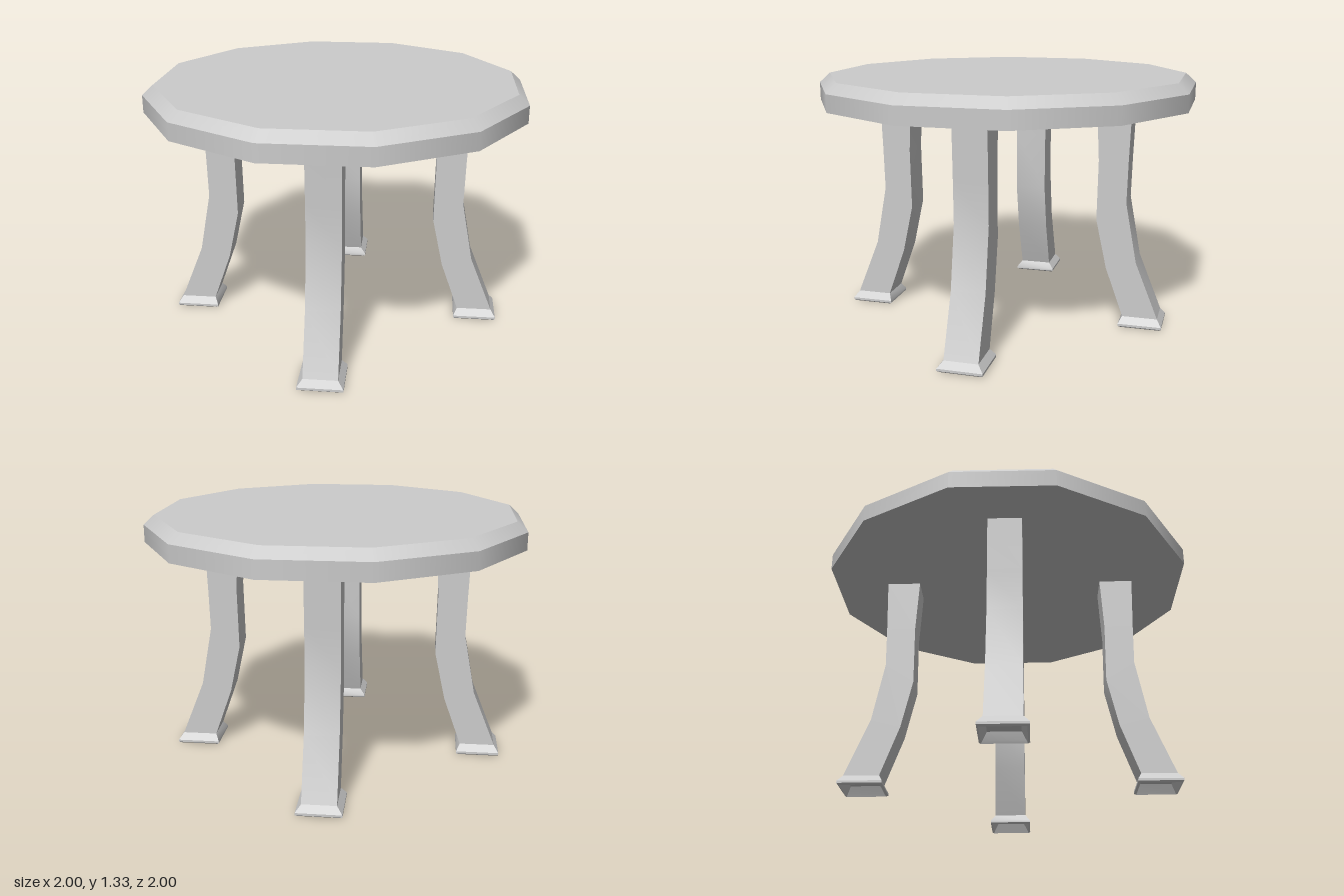
import * as THREE from 'three';
import { mergeVertices, toCreasedNormals } from 'three/addons/utils/BufferGeometryUtils.js';

const material = new THREE.MeshStandardMaterial({ color: 0xcccccc });

function addMesh(parent, geometry, name, y = 0) {
  const mesh = new THREE.Mesh(geometry, material);
  mesh.name = name;
  mesh.position.y = y;
  parent.add(mesh);
  return mesh;
}

// Skin rectangular rings from top to bottom; each ring is
// [outer y, outer reach, inner y, inner reach, half width].
function skinRings(rings, capped) {
  const points = [];
  const index = [];
  for (const [yo, zo, yi, zi, h] of rings) {
    points.push(-h, yo, zo, h, yo, zo, h, yi, zi, -h, yi, zi);
  }
  for (let r = 0; r < rings.length - 1; r++) {
    for (let k = 0; k < 4; k++) {
      const a = r * 4 + k;
      const b = r * 4 + (k + 1) % 4;
      index.push(a, a + 4, b + 4, a, b + 4, b);
    }
  }
  if (capped) {
    const e = (rings.length - 1) * 4;
    index.push(e, e + 2, e + 1, e, e + 3, e + 2);
  }
  const geometry = new THREE.BufferGeometry();
  geometry.setAttribute('position', new THREE.Float32BufferAttribute(points, 3));
  geometry.setIndex(index);
  return toCreasedNormals(mergeVertices(geometry), 0.5);
}

export function createModel() {
  const table = new THREE.Group();
  table.name = 'roundTable';

  // Twelve-sided top: bevelled upper edge over a straight rim
  const top = new THREE.Group();
  top.name = 'tableTop';
  table.add(top);
  addMesh(top, new THREE.CylinderGeometry(0.945, 1, 0.05, 12, 1, true), 'topBevel', 1.305);
  addMesh(top, new THREE.CylinderGeometry(1, 1, 0.09, 12, 1, true), 'topRim', 1.235);
  const disc = new THREE.CircleGeometry(1, 12);
  const surface = addMesh(top, disc, 'topSurface', 1.33);
  surface.rotation.x = -Math.PI / 2;
  surface.scale.setScalar(0.945);
  addMesh(top, disc, 'topUnderside', 1.19).rotation.x = Math.PI / 2;

  // Curved leg, bowed outward towards the floor
  const legGeometry = skinRings([
    [1.19, 0.7, 1.19, 0.52, 0.087],
    [0.9, 0.69, 0.9, 0.535, 0.087],
    [0.68, 0.685, 0.58, 0.53, 0.087],
    [0.36, 0.745, 0.32, 0.587, 0.087],
    [0.055, 0.868, 0.055, 0.682, 0.087],
  ], false);

  // Flared foot with a hollow underside
  const footGeometry = skinRings([
    [0.055, 0.868, 0.055, 0.682, 0.087],
    [0.02, 0.893, 0.02, 0.663, 0.115],
    [0.008, 0.893, 0.008, 0.663, 0.115],
    [0, 0.883, 0, 0.673, 0.105],
    [0.012, 0.877, 0.012, 0.679, 0.099],
    [0.05, 0.858, 0.05, 0.692, 0.078],
  ], true);

  // Four diagonal legs, each set a hair off the perfect square
  const legs = [
    ['frontLeftLeg', 0.003, -0.006],
    ['backLeftLeg', -0.016, 0.016],
    ['backRightLeg', -0.008, -0.004],
    ['frontRightLeg', 0.006, 0.002],
  ];
  legs.forEach(([name, dx, dz], i) => {
    const leg = new THREE.Group();
    leg.name = name;
    leg.position.set(dx, 0, dz);
    leg.rotation.y = Math.PI / 4 + i * Math.PI / 2;
    addMesh(leg, legGeometry, 'legShaft');
    addMesh(leg, footGeometry, 'foot');
    table.add(leg);
  });

  return table;
}
